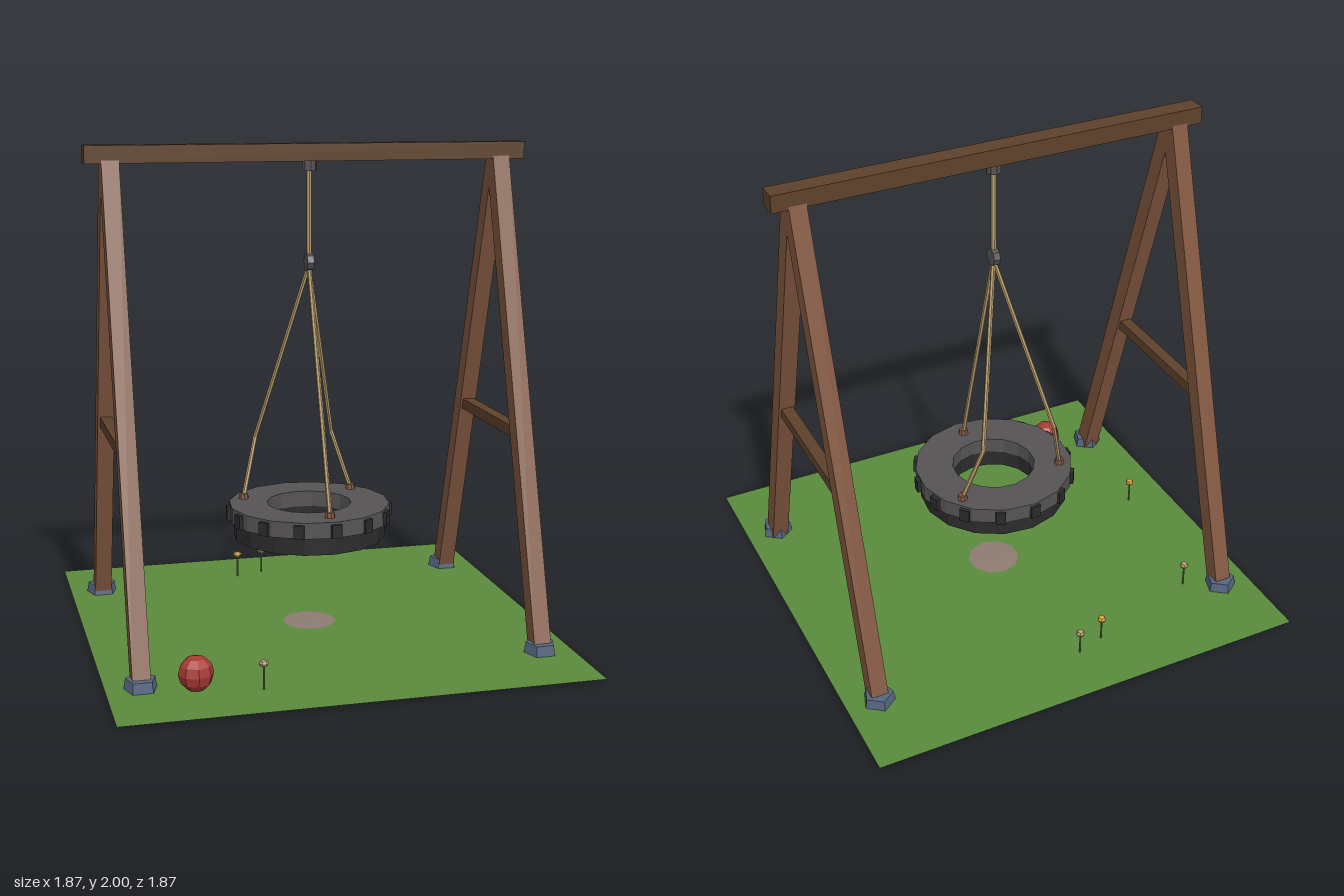
import * as THREE from 'three';

const mat = (name, color, extra = {}) => {
  const m = new THREE.MeshStandardMaterial({ color, flatShading: true, ...extra });
  m.name = name;
  return m;
};

export function createModel() {
  const root = new THREE.Group();
  root.name = 'tyreSwing';

  const grass = mat('grass green', 0x5a8a3c, { side: THREE.DoubleSide });
  const dirt = mat('dirt', 0x8c7b72, { side: THREE.DoubleSide });
  const wood = mat('wood', 0x80563e);
  const darkWood = mat('dark wood', 0x5e422b);
  const stone = mat('blue stone', 0x566681);
  const rope = mat('rope', 0xb89d6a);
  const rubber = mat('rubber grey', 0x565355);
  const tread = mat('dark rubber', 0x2b2b2c);
  const red = mat('red', 0xa83a34);
  const yellow = mat('yellow', 0xe0a53a);

  const add = (name, geo, material, x = 0, y = 0, z = 0, parent = root) => {
    const m = new THREE.Mesh(geo, material);
    m.name = name;
    m.position.set(x, y, z);
    parent.add(m);
    return m;
  };
  const V = (x, y, z) => new THREE.Vector3(x, y, z);
  const UP = V(0, 1, 0);
  // Place a y-aligned geometry of given length between two points
  const between = (name, a, b, makeGeo, material) => {
    const d = b.clone().sub(a);
    const mid = a.clone().add(b).multiplyScalar(0.5);
    const m = add(name, makeGeo(d.length()), material, mid.x, mid.y, mid.z);
    m.quaternion.setFromUnitVectors(UP, d.normalize());
    return m;
  };

  // Lawn sheet, with a shallow dirt mound that only breaks through at its centre
  add('lawn', new THREE.PlaneGeometry(1.87, 1.87).rotateX(-Math.PI / 2), grass, 0, 0.008, 0);
  add('dirtMound', new THREE.ConeGeometry(0.52, 0.0105, 10, 1, true), dirt, 0, 0.005, 0);

  // A-frames on stone footings
  for (const sx of [-1, 1]) {
    const x = 0.8 * sx;
    for (const sz of [-1, 1]) {
      between('leg', V(x, 0.01, 0.593 * sz), V(x, 1.945, 0), (l) => new THREE.BoxGeometry(0.07, l, 0.075), wood);
      const foot = add('footing', new THREE.CylinderGeometry(0.06, 0.068, 0.05, 5), stone, x, 0.025, 0.6 * sz);
      foot.rotation.y = Math.PI;
    }
    add('crossBar', new THREE.BoxGeometry(0.05, 0.045, 0.62), darkWood, x, 0.843, 0);
  }
  add('topBeam', new THREE.BoxGeometry(1.8, 0.07, 0.08), darkWood, 0, 1.965, 0);

  // Hanger, main rope and the link below it
  add('hanger', new THREE.CylinderGeometry(0.03, 0.03, 0.04, 8), rubber, 0, 1.91, 0);
  add('mainRope', new THREE.CylinderGeometry(0.011, 0.011, 0.37, 6), rope, 0, 1.71, 0);
  add('link', new THREE.CylinderGeometry(0.037, 0.037, 0.027, 8).rotateZ(Math.PI / 2), rubber, 0, 1.525, 0);

  // Three ropes, each with a bend, knotted to the tyre
  const top = V(0, 1.51, 0);
  const ropes = [
    [V(0.016, 0.77, 0.195), V(0.022, 0.53, 0.255)],
    [V(-0.187, 0.77, -0.187), V(-0.252, 0.53, -0.122)],
    [V(0.152, 0.77, -0.217), V(0.225, 0.53, -0.17)],
  ];
  for (const [bend, end] of ropes) {
    const strand = (l) => new THREE.CylinderGeometry(0.0095, 0.0095, l + 0.006, 6);
    between('upperRope', top, bend, strand, rope);
    between('lowerRope', bend, end, strand, rope);
    add('knot', new THREE.CylinderGeometry(0.018, 0.022, 0.025, 8), wood, end.x, 0.533, end.z);
  }

  // Tyre: wide upper ring, narrower dark lower ring, and tread lugs
  const tyre = new THREE.Group();
  tyre.name = 'tyre';
  tyre.rotation.y = 0.085;
  root.add(tyre);
  const ring = (inner, outer, y0, y1) =>
    new THREE.LatheGeometry(
      [[inner, y0], [outer, y0], [outer, y1], [inner, y1], [inner, y0]].map(([r, y]) => new THREE.Vector2(r, y)), 16);
  add('upperRing', ring(0.175, 0.334, 0.458, 0.524), rubber, 0, 0, 0, tyre);
  add('lowerRing', ring(0.18, 0.315, 0.385, 0.46), tread, 0, 0, 0, tyre);
  for (let i = 0; i < 14; i++) {
    const a = (i / 14) * Math.PI * 2;
    const lug = add('treadLug', new THREE.BoxGeometry(0.042, 0.055, 0.022), tread,
      0.333 * Math.sin(a), 0.487, 0.333 * Math.cos(a), tyre);
    lug.rotation.y = a;
  }

  // Ball on the grass
  add('ball', new THREE.SphereGeometry(0.069, 8, 6), red, -0.6, 0.072, 0.652);

  // Small flowers
  const flowers = [
    [-0.17, -0.67, yellow], [-0.05, -0.707, rope], [-0.658, -0.525, rope],
    [-0.747, 0.095, yellow], [-0.355, 0.715, rope],
  ];
  for (const [x, z, colour] of flowers) {
    add('flowerStem', new THREE.CylinderGeometry(0.004, 0.004, 0.1, 5), grass, x, 0.055, z);
    add('flowerHead', new THREE.SphereGeometry(0.019, 6, 4).scale(1, 0.75, 1), colour, x, 0.111, z);
  }

  return root;
}
